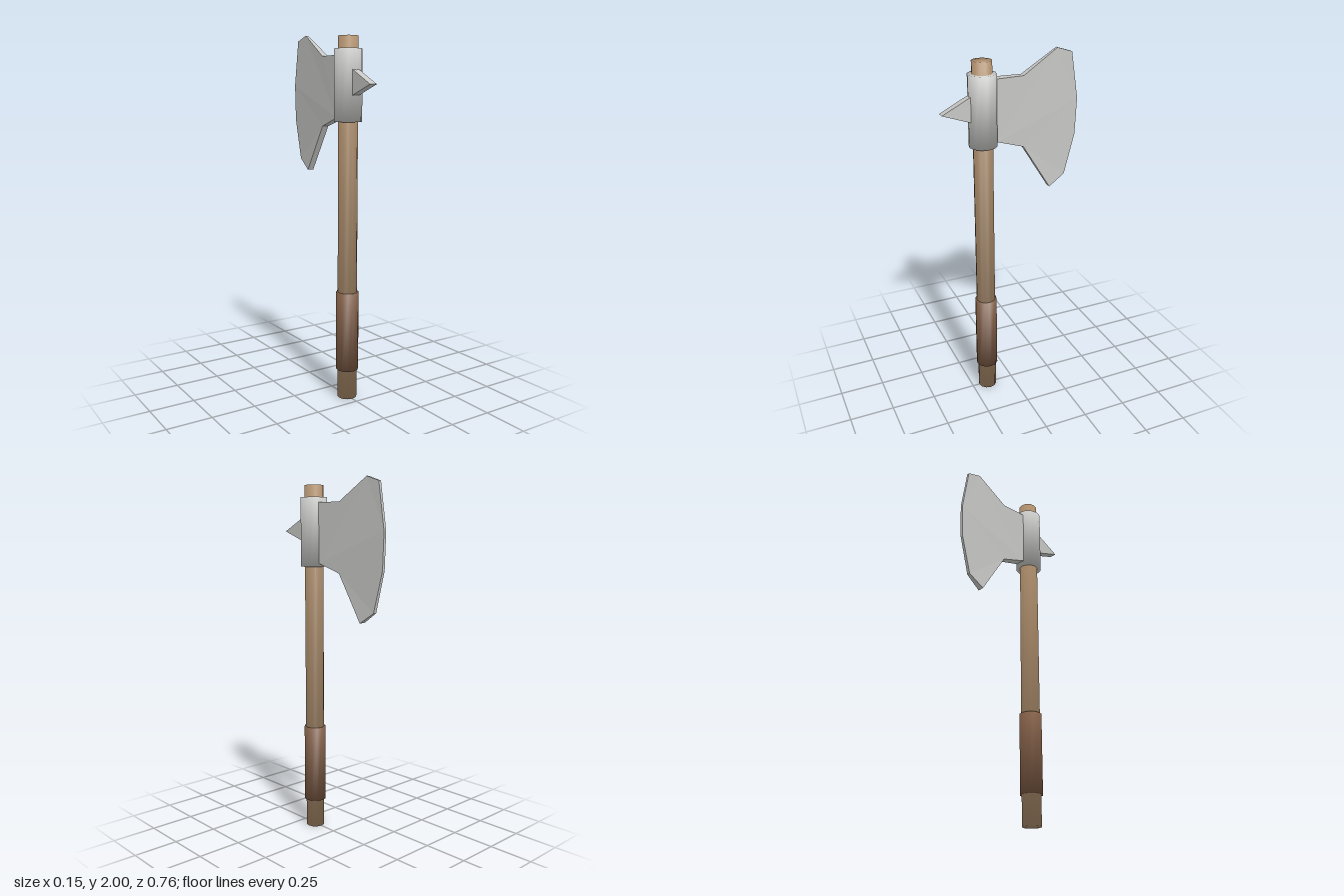
import * as THREE from 'three';

const metal = new THREE.MeshStandardMaterial({ name: 'steel', color: 0xc6c6c4 });
const wood = new THREE.MeshStandardMaterial({ name: 'wood', color: 0xa98a69 });
const leather = new THREE.MeshStandardMaterial({ name: 'leather', color: 0x7c5a43 });

const AXIS_Z = 0.157; // the shaft sits forward of the centre

// Twelve-sided round part whose normals blend softly over the rims
function roundPart(name, radius, bottom, top, material) {
  const geo = new THREE.CylinderGeometry(radius, radius, top - bottom, 12);
  const p = geo.attributes.position;
  const n = new THREE.Vector3();
  for (let i = 0; i < p.count; i++) {
    n.set(p.getX(i) / radius, Math.sign(p.getY(i)), p.getZ(i) / radius).normalize();
    geo.attributes.normal.setXYZ(i, n.x, n.y, n.z);
  }
  const mesh = new THREE.Mesh(geo, material);
  mesh.name = name;
  mesh.position.set(0, (bottom + top) / 2, AXIS_Z);
  return mesh;
}

// Flat-faced plate from an outline of [z, y, half thickness]
function plate(name, outline, material) {
  const shape = new THREE.Shape(outline.map(([z, y]) => new THREE.Vector2(-z, y)));
  const geo = new THREE.ExtrudeGeometry(shape, { depth: 1, bevelEnabled: false });
  geo.translate(0, 0, -0.5).rotateY(Math.PI / 2);
  const p = geo.attributes.position;
  for (let i = 0; i < p.count; i++) {
    const corner = outline.find(([z, y]) =>
      Math.abs(z - p.getZ(i)) < 1e-4 && Math.abs(y - p.getY(i)) < 1e-4);
    p.setX(i, Math.sign(p.getX(i)) * corner[2]);
  }
  geo.computeVertexNormals();
  const mesh = new THREE.Mesh(geo, material);
  mesh.name = name;
  return mesh;
}

export function createModel() {
  const axe = new THREE.Group();
  axe.name = 'axe';

  // Shaft, wrapped grip and head socket
  axe.add(
    roundPart('handle', 0.053, 0, 1.972, wood),
    roundPart('grip', 0.062, 0.163, 0.605, leather),
    roundPart('socket', 0.075, 1.53, 1.907, metal),
  );

  // Blade, thinning from the socket to the cutting edge
  axe.add(plate('blade', [
    [0.088, 1.878, 0.027],
    [0.088, 1.549, 0.027],
    [-0.064, 1.5, 0.019],
    [-0.223, 1.245, 0.018],
    [-0.315, 1.305, 0.01],
    [-0.373, 1.527, 0.008],
    [-0.38, 1.725, 0.008],
    [-0.34, 1.973, 0.008],
    [-0.255, 2, 0.008],
    [-0.064, 1.878, 0.019],
  ], metal));

  // Wedge-shaped spike on the opposite side
  axe.add(plate('spike', [
    [0.225, 1.8, 0.021],
    [0.38, 1.722, 0.021],
    [0.225, 1.667, 0.021],
  ], metal));

  return axe;
}
